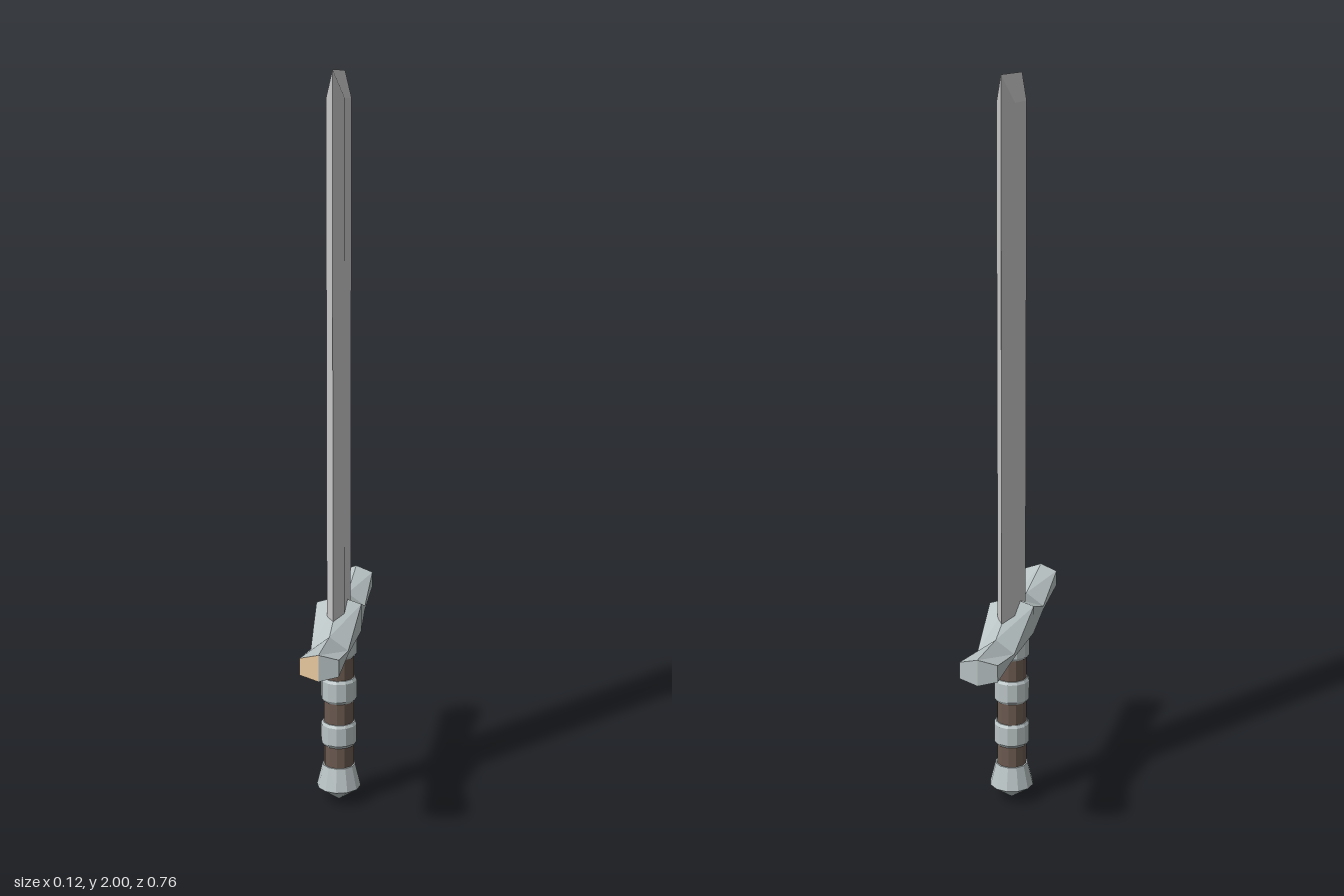
import * as THREE from 'three';

const material = (color) => new THREE.MeshStandardMaterial({ color, flatShading: true });

// Flat-shaded geometry from triangles given as points
function fromTriangles(triangles) {
  const geometry = new THREE.BufferGeometry();
  geometry.setAttribute('position', new THREE.Float32BufferAttribute(triangles.flat(2), 3));
  geometry.computeVertexNormals();
  return geometry;
}

// Closed skin over matching rings; each cap is a fan from the first point
function loft(rings, skipEnd = 0) {
  const triangles = [];
  const n = rings[0].length;
  const first = rings[0], last = rings[rings.length - 1];
  for (let r = 0; r < rings.length - 1; r++) {
    for (let i = 0; i < n; i++) {
      const j = (i + 1) % n, a = rings[r], b = rings[r + 1];
      triangles.push([a[i], a[j], b[j]], [a[i], b[j], b[i]]);
    }
  }
  for (let i = 1; i < n - 1; i++) {
    triangles.push([first[0], first[i + 1], first[i]]);
    if (i > skipEnd) triangles.push([last[0], last[i], last[i + 1]]);
  }
  return fromTriangles(triangles);
}

// Six-sided blade section; ridge and shoulder heights shape the tip
const bladeRing = (edgeY, flatY) => [
  [0, edgeY, 0.118], [0.024, flatY, 0.066], [0.024, flatY, -0.066],
  [0, edgeY, -0.118], [-0.024, flatY, -0.066], [-0.024, flatY, 0.066],
];

// Six-sided guard section: top ridge, upper and lower side edges, bottom ridge
const guardRing = ([z, w, top, upper, lower, bottom, sideZ = z]) => [
  [0, top, z], [-w, upper, sideZ], [-w, lower, sideZ],
  [0, bottom, z], [w, lower, sideZ], [w, upper, sideZ],
];

export function createModel() {
  const sword = new THREE.Group();
  sword.name = 'sword';
  const steel = material(0xcccccc);
  const metal = material(0xbac4c5);
  const leather = material(0x6b5a50);
  const add = (name, geometry, mat) => {
    const mesh = new THREE.Mesh(geometry, mat);
    mesh.name = name;
    sword.add(mesh);
  };
  const lathe = (points) =>
    new THREE.LatheGeometry(points.map(([r, y]) => new THREE.Vector2(r, y)), 12);

  // Blade with a chisel tip
  add('blade', loft([bladeRing(0.53, 0.53), bladeRing(2, 1.93)]), steel);

  // Crossguard, mirrored front to back
  const half = [
    [0.185, 0.05, 0.548, 0.512, 0.502, 0.489],
    [0.382, 0.05, 0.57, 0.555, 0.51, 0.499, 0.37],
  ];
  const mirrored = half.map(([z, w, t, u, l, b, s = z]) => [-z, w, t, u, l, b, -s]).reverse();
  const rings = [...mirrored, [0, 0.062, 0.6, 0.58, 0.502, 0.48], ...half].map(guardRing);
  add('crossguard', loft(rings, 2), metal);

  // Coloured half of the guard's front end
  const [top, upper, lower, bottom] = rings[rings.length - 1];
  add('guardEndFacet', fromTriangles([[top, upper, lower], [top, lower, bottom]]), material(0xf0cfa5));

  // Grip wraps
  for (const y of [0.105, 0.23, 0.36]) {
    const wrap = new THREE.CylinderGeometry(0.042, 0.042, 0.08, 12);
    add('gripWrap', wrap.translate(0, y + 0.04, 0), leather);
  }

  // Grip bands with small bevels
  for (const [low, high] of [[0.17, 0.238], [0.3, 0.368], [0.43, 0.5]]) {
    add('gripBand', lathe([
      [0, low], [0.045, low], [0.05, low + 0.008],
      [0.05, high - 0.008], [0.045, high], [0, high],
    ]), metal);
  }

  // Flared pommel ending in a shallow cone
  add('pommel', lathe([[0, 0], [0.062, 0.045], [0.046, 0.11], [0, 0.11]]), metal);

  return sword;
}
